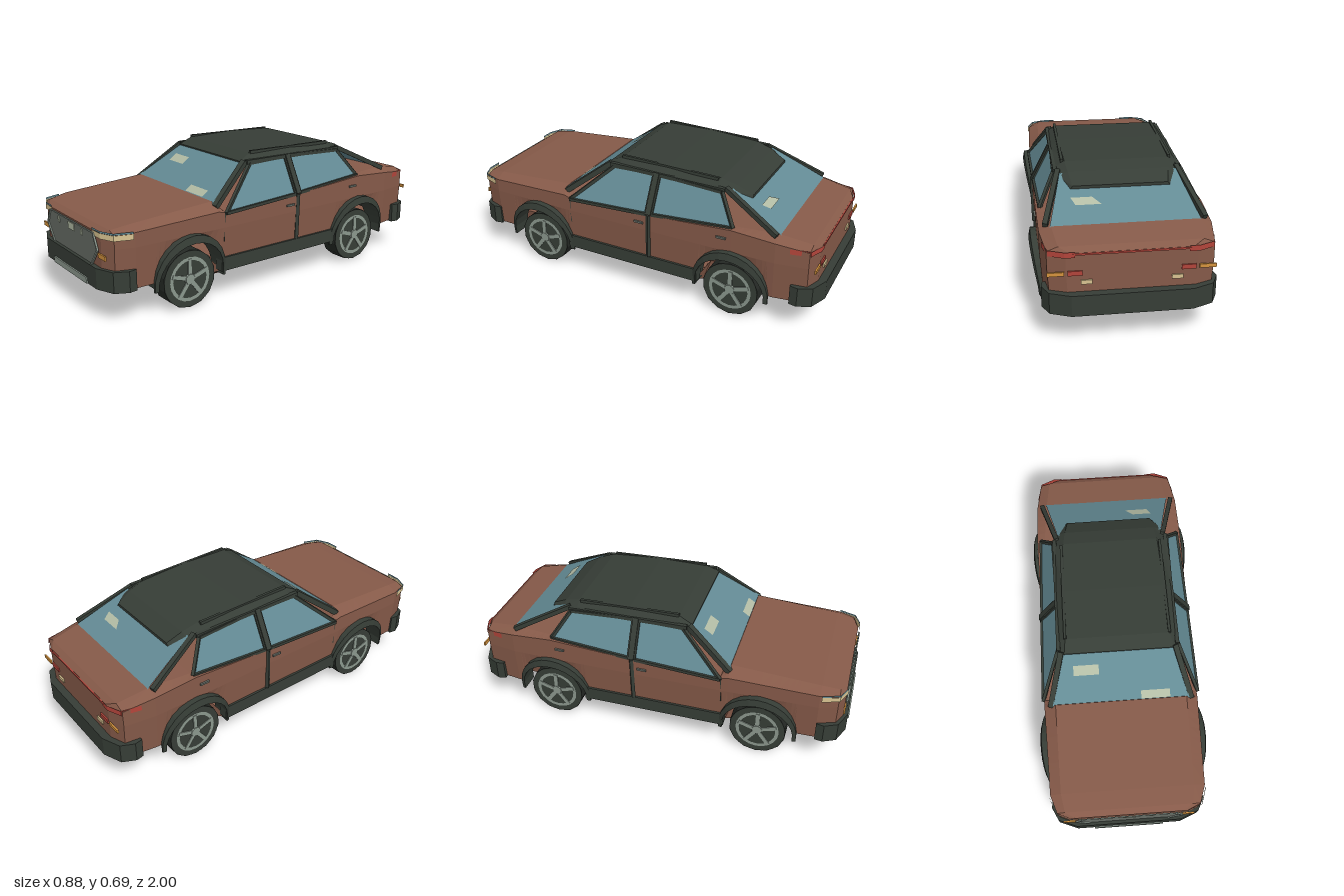
import * as THREE from 'three';

const paint = (name, color) => {
  const m = new THREE.MeshStandardMaterial({ color, flatShading: true, side: THREE.DoubleSide });
  m.name = name;
  return m;
};

export function createModel() {
  const car = new THREE.Group();
  car.name = 'car';
  const brown = paint('brown paint', 0x865a49), dark = paint('dark trim', 0x363d36);
  const glass = paint('blue glass', 0x648b95), tyre = paint('tyre rubber', 0x252925);
  const grey = paint('rim grey', 0x8b978d), mesh = paint('grille grey', 0x676d66);
  const cream = paint('lamp cream', 0xd8c391), orange = paint('indicator orange', 0xd6943f);
  const red = paint('tail red', 0xb3453b), pale = paint('pale trim', 0xb3bca5);

  const add = (name, geo, mat, parent = car) => {
    const m = new THREE.Mesh(geo, mat);
    m.name = name;
    parent.add(m);
    return m;
  };
  const box = (name, mat, size, pos, parent) => {
    const m = add(name, new THREE.BoxGeometry(...size), mat, parent);
    m.position.set(...pos);
    return m;
  };
  const fromTris = (tris) => {
    const g = new THREE.BufferGeometry();
    g.setAttribute('position', new THREE.Float32BufferAttribute(tris.flat(), 3));
    g.computeVertexNormals();
    return g;
  };
  // flat polygon from its corners
  const panel = (name, mat, pts) => {
    const t = [];
    for (let i = 1; i < pts.length - 1; i++) t.push(pts[0], pts[i], pts[i + 1]);
    return add(name, fromTris(t), mat);
  };
  // skin over a row of cross-sections
  const loft = (name, mat, rows, { closed = false, caps = false } = {}) => {
    const t = [], n = rows[0].length;
    for (let i = 0; i < rows.length - 1; i++)
      for (let j = 0; j < (closed ? n : n - 1); j++) {
        const k = (j + 1) % n, a = rows[i], b = rows[i + 1];
        t.push(a[j], b[j], b[k], a[j], b[k], a[k]);
      }
    if (caps) for (const r of [rows[0], rows.at(-1)])
      for (let j = 1; j < n - 1; j++) t.push(r[0], r[j], r[j + 1]);
    return add(name, fromTris(t), mat);
  };
  // square bar between two points
  const bar = (name, mat, a, b, w = 0.02, h = w) => {
    const p = new THREE.Vector3(...a), q = new THREE.Vector3(...b);
    const m = add(name, new THREE.BoxGeometry(w, h, p.distanceTo(q)), mat);
    m.position.copy(p).add(q).multiplyScalar(0.5);
    m.lookAt(q);
    return m;
  };
  const mirrorX = (half) => [...half, ...half.slice().reverse().map(([x, y, z]) => [-x, y, z])];

  // body: z, half width, shoulder height, top half width, top height
  const keys = [
    [0.97, 0.29, 0.42, 0.27, 0.43], [0.94, 0.36, 0.435, 0.32, 0.45], [0.85, 0.39, 0.44, 0.335, 0.465],
    [0.4, 0.4, 0.455, 0.34, 0.495], [0.36, 0.4, 0.445, 0.38, 0.45], [-0.1, 0.4, 0.46, 0.38, 0.465],
    [-0.55, 0.4, 0.49, 0.36, 0.495], [-0.77, 0.395, 0.475, 0.34, 0.5],
    [-0.93, 0.37, 0.455, 0.32, 0.475], [-0.96, 0.29, 0.44, 0.27, 0.455]];
  const axles = [0.56, -0.55];
  const stations = keys.map((k) => k[0]);
  for (const c of axles) for (let i = 0; i <= 12; i++) stations.push(c + 0.187 * Math.cos(Math.PI * i / 12));
  stations.sort((a, b) => b - a);
  const bodyRows = stations.map((z) => {
    let i = 0;
    while (i < keys.length - 2 && keys[i + 1][0] > z) i++;
    const f = (z - keys[i][0]) / (keys[i + 1][0] - keys[i][0]);
    const [, w, sh, tw, top] = keys[i].map((v, j) => v + (keys[i + 1][j] - v) * f);
    let low = Math.abs(z) < 0.42 ? 0.2 : 0.17;
    for (const c of axles) {
      const u = (z - c) / 0.187;
      if (Math.abs(u) < 1) low = Math.max(low, 0.155 + 0.195 * Math.sqrt(1 - u * u));
    }
    return mirrorX([[w - 0.012, low, z], [w, 0.37, z], [w, sh, z], [tw, top, z]]);
  });
  loft('body', brown, bodyRows, { caps: true });

  // underbody
  loft('underbody', brown, [
    [0.965, 0.17, 0.26, 0.28, 0.2], [0.73, 0.125, 0.25, 0.27, 0.21], [0.41, 0.09, 0.27, 0.275, 0.21],
    [0.37, 0.09, 0.28, 0.385, 0.15], [-0.36, 0.09, 0.28, 0.385, 0.15], [-0.4, 0.09, 0.27, 0.275, 0.21],
    [-0.72, 0.125, 0.25, 0.27, 0.21], [-0.955, 0.17, 0.26, 0.28, 0.2],
  ].map(([z, y, w, w2, y2]) => mirrorX([[w, y, z], [w2, y2, z]])), { closed: true, caps: true });

  // roof with rear lip
  loft('roof', dark, [
    [0.18, 0.29, 0.643, 0.275, 0.65], [0.11, 0.305, 0.65, 0.265, 0.683], [-0.15, 0.305, 0.65, 0.26, 0.688],
    [-0.43, 0.3, 0.645, 0.25, 0.675], [-0.51, 0.285, 0.63, 0.24, 0.65], [-0.59, 0.235, 0.595, 0.225, 0.61],
  ].map(([z, w, y, w2, y2]) => mirrorX([[w, y, z], [w2, y2, z]])), { closed: true, caps: true });

  // windscreen and rear window
  const screen = (name, y0, z0, w0, y1, z1, w1) =>
    panel(name, glass, [[-w0, y0, z0], [w0, y0, z0], [w1, y1, z1], [-w1, y1, z1]]);
  screen('windscreen', 0.488, 0.405, 0.355, 0.647, 0.17, 0.28);
  screen('rearWindow', 0.497, -0.78, 0.345, 0.642, -0.5, 0.28);
  const onScreen = (x, y) => [x, y + 0.002, 0.405 - (y - 0.488) * 1.478 + 0.003];
  for (const [x, y, w, h] of [[-0.17, 0.592, 0.13, 0.03], [0.18, 0.508, 0.15, 0.025]])
    panel('glassGlint', pale, [onScreen(x - w / 2, y - h / 2), onScreen(x + w / 2, y - h / 2),
      onScreen(x + w / 2, y + h / 2), onScreen(x - w / 2, y + h / 2)]);
  panel('rearGlint', pale, [[0.1, 0.553, -0.68], [0.22, 0.553, -0.68], [0.24, 0.574, -0.64], [0.14, 0.574, -0.64]]);

  // bumpers: chamfered outline raised upward
  const bumper = (name, s) => {
    const half = [[0.39, 0.85], [0.397, 0.89], [0.365, 0.955], [0.27, 0.993]];
    const pts = [...half, ...half.slice().reverse().map(([x, z]) => [-x, z])];
    const row = (y) => pts.map(([x, z]) => [x, y, z * s]);
    loft(name, dark, [row(0.165), row(0.267)], { closed: true, caps: true });
  };
  bumper('frontBumper', 1);
  bumper('rearBumper', -1.005);
  box('frontPlate', grey, [0.36, 0.03, 0.008], [0, 0.18, 0.996]);

  // grille
  panel('grille', mesh, [[-0.235, 0.42, 0.977], [-0.27, 0.35, 0.977], [-0.2, 0.26, 0.977],
    [0.2, 0.26, 0.977], [0.27, 0.35, 0.977], [0.235, 0.42, 0.977]]);
  bar('grilleTopBar', grey, [-0.235, 0.423, 0.978], [0.235, 0.423, 0.978], 0.006);
  for (const x of [-0.14, 0.11]) box('grilleMark', pale, [0.018, 0.03, 0.004], [x, 0.395, 0.978]);
  box('grilleBadgePlate', pale, [0.065, 0.035, 0.004], [0, 0.395, 0.978]);

  for (const s of [1, -1]) {
    const side = s > 0 ? 'left' : 'right';
    const P = (x, y, z) => [x * s, y, z];
    // point on the sloping cabin side
    const C = (y, z, out = 0) => P(0.402 - (y - 0.45) * 0.52 + out, y, z);
    const strip = (name, mat, path, y0, y1) =>
      loft(name, mat, [path.map(([x, z]) => P(x, y0, z)), path.map(([x, z]) => P(x, y1, z))]);

    // side windows with dark frames
    const front = [[0.443, 0.36], [0.64, 0.14], [0.645, -0.09], [0.462, -0.09]];
    const rear = [[0.465, -0.12], [0.645, -0.12], [0.632, -0.46], [0.492, -0.55]];
    for (const [n, loop] of [['Front', front], ['Rear', rear]]) {
      panel(side + n + 'Window', glass, loop.map(([y, z]) => C(y, z)));
      loop.forEach(([y, z], i) => {
        const [y2, z2] = loop[(i + 1) % loop.length];
        bar(side + n + 'WindowFrame', dark, C(y, z), C(y2, z2), 0.016);
      });
    }
    bar(side + 'FrontPillar', dark, P(0.365, 0.47, 0.4), P(0.29, 0.648, 0.165), 0.028);
    bar(side + 'CentrePillar', dark, C(0.46, -0.105), C(0.65, -0.105), 0.03);
    bar(side + 'RearPillar', dark, P(0.365, 0.5, -0.765), P(0.285, 0.645, -0.47), 0.024);
    bar(side + 'RoofEdge', dark, P(0.303, 0.648, 0.16), P(0.298, 0.64, -0.47), 0.02);
    bar(side + 'RoofRail', dark, P(0.265, 0.686, 0.11), P(0.262, 0.674, -0.42), 0.014, 0.016);

    // door gaps, handles, sill
    bar(side + 'DoorPost', dark, P(0.397, 0.22, -0.1), P(0.4, 0.46, -0.105), 0.018);
    bar(side + 'DoorFrontGap', dark, P(0.393, 0.3, 0.365), P(0.399, 0.445, 0.363), 0.006);
    box(side + 'FrontHandle', mesh, [0.012, 0.01, 0.05], P(0.403, 0.41, -0.05));
    box(side + 'RearHandle', mesh, [0.012, 0.01, 0.05], P(0.403, 0.44, -0.5));
    box(side + 'Sill', dark, [0.05, 0.07, 0.76], P(0.376, 0.183, 0.005));

    // lamps
    const nose = [[0.22, 0.977], [0.295, 0.976], [0.366, 0.945], [0.395, 0.86]];
    strip(side + 'Headlight', cream, nose, 0.41, 0.437);
    strip(side + 'HeadlightTop', glass, nose, 0.438, 0.447);
    box(side + 'FrontIndicator', orange, [0.07, 0.022, 0.008], P(0.3, 0.325, 0.972));
    bar(side + 'GrilleUpperFrame', grey, P(0.235, 0.42, 0.979), P(0.27, 0.35, 0.979), 0.009);
    bar(side + 'GrilleLowerFrame', grey, P(0.27, 0.35, 0.979), P(0.2, 0.26, 0.979), 0.009);
    strip(side + 'TailLamp', red, [[0.25, -0.965], [0.295, -0.965], [0.366, -0.935], [0.388, -0.84]], 0.435, 0.462);
    box(side + 'RearReflector', red, [0.065, 0.022, 0.008], P(0.25, 0.36, -0.963));
    box(side + 'ReverseLamp', cream, [0.05, 0.02, 0.008], P(0.2, 0.315, -0.963));
    box(side + 'RearIndicator', orange, [0.075, 0.018, 0.008], P(0.335, 0.36, -0.963));

    axles.forEach((c, k) => {
      const end = k ? 'Rear' : 'Front';
      // wheel arch flare with its liner
      const rows = [];
      for (let i = 0; i <= 14; i++) {
        const a = -0.13 + (Math.PI + 0.26) * i / 14;
        const at = (x, rz, ry) => P(x, 0.155 + ry * Math.sin(a), c + rz * Math.cos(a));
        const flare = 0.402 + 0.036 * Math.max(0, Math.sin(a));
        rows.push([at(0.3, 0.183, 0.185), at(flare, 0.183, 0.185), at(flare - 0.008, 0.202, 0.222), at(0.385, 0.202, 0.222)]);
      }
      loft(side + end + 'Arch', dark, rows);

      // wheel
      const wheel = new THREE.Group();
      wheel.name = side + end + 'Wheel';
      wheel.position.set(0.33 * s, 0.146, c);
      wheel.rotation.y = s * Math.PI / 2;
      car.add(wheel);
      add('tyre', new THREE.CylinderGeometry(0.146, 0.146, 0.1, 14).rotateX(Math.PI / 2), tyre, wheel);
      add('tyreWall', new THREE.RingGeometry(0.105, 0.143, 14), dark, wheel).position.z = 0.051;
      add('rimBack', new THREE.CircleGeometry(0.108, 14), dark, wheel).position.z = 0.0512;
      add('rim', new THREE.RingGeometry(0.095, 0.112, 20), grey, wheel).position.z = 0.053;
      add('hub', new THREE.CylinderGeometry(0.026, 0.03, 0.008, 10).rotateX(Math.PI / 2), grey, wheel).position.z = 0.054;
      for (let i = 0; i < 5; i++) {
        const a = Math.PI / 2 + i * Math.PI * 0.4;
        box('spoke', grey, [0.085, 0.021, 0.006], [0.06 * Math.cos(a), 0.06 * Math.sin(a), 0.053], wheel).rotation.z = a;
      }
    });
  }
  box('tailStripe', red, [0.52, 0.008, 0.006], [0, 0.45, -0.963]);
  return car;
}
